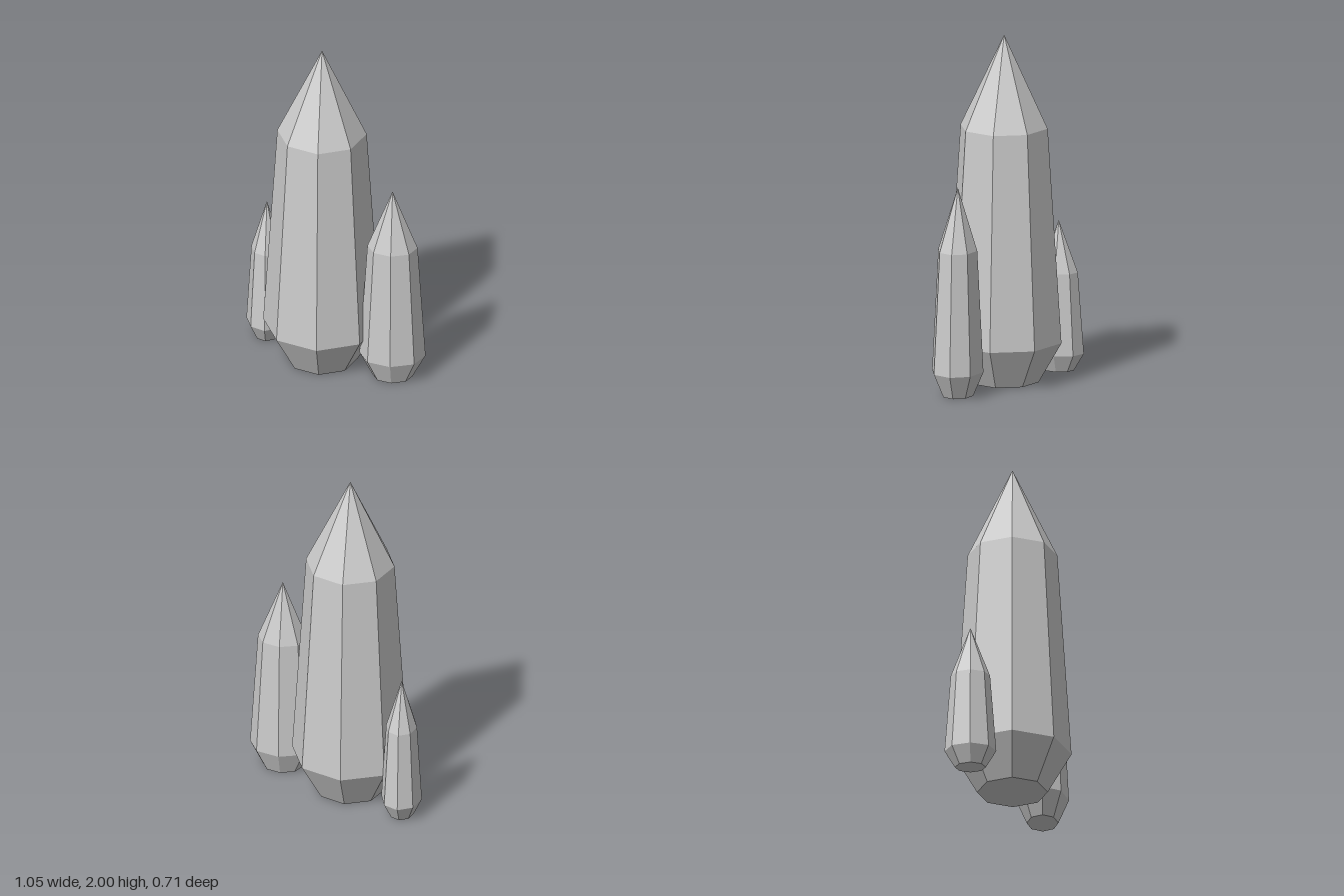
import * as THREE from 'three';

const material = new THREE.MeshStandardMaterial({ color: 0xcccccc, flatShading: true });

// Eight-sided crystal: narrow foot, wide belt, tapering shaft, pointed tip.
// rx and rz are the belt radii.
function crystal(name, x, z, rx, rz, beltY, shoulderY, tipY) {
  const profile = [
    [0, 0],
    [0.6, 0],
    [1, beltY],
    [0.76, shoulderY],
    [0, tipY],
  ].map(([r, y]) => new THREE.Vector2(r, y));
  const geometry = new THREE.LatheGeometry(profile, 8);
  geometry.scale(rx, 1, rz);
  const mesh = new THREE.Mesh(geometry, material);
  mesh.name = name;
  mesh.position.set(x, 0, z);
  return mesh;
}

export function createModel() {
  const group = new THREE.Group();
  group.name = 'crystalCluster';
  group.add(
    crystal('mainCrystal', -0.077, 0.022, 0.333, 0.333, 0.233, 1.47, 2),
    crystal('leftCrystal', 0.338, 0.188, 0.187, 0.149, 0.14, 0.84, 1.2),
    crystal('rightCrystal', -0.411, -0.212, 0.116, 0.146, 0.1, 0.568, 0.865),
  );
  return group;
}
